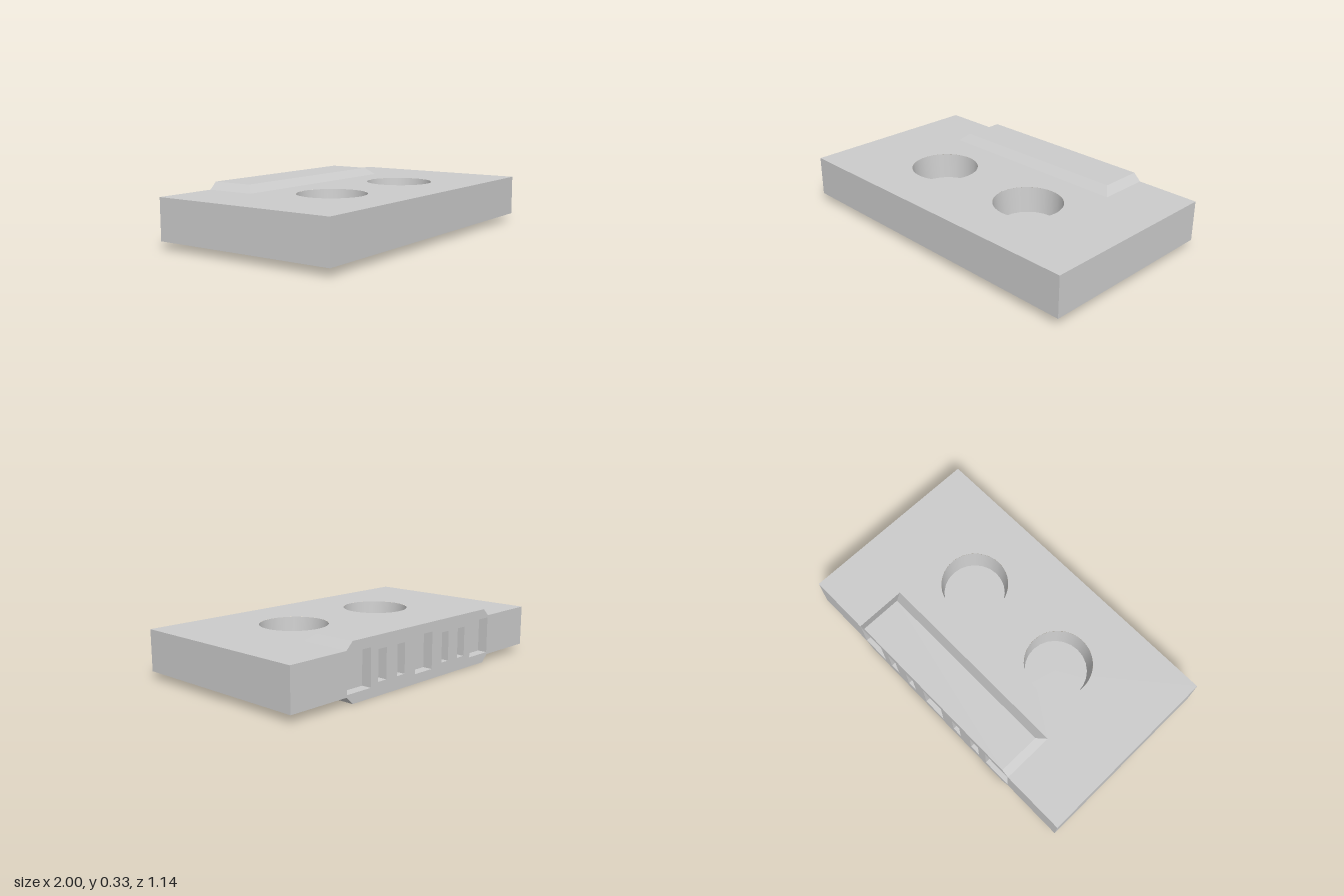
import * as THREE from 'three';
import { mergeGeometries } from 'three/addons/utils/BufferGeometryUtils.js';

const W = 1, D = 0.57;                 // half width and half depth of the slab
const LOW = 0.045, TOP = 0.287;        // slab underside and top
const FULL = 0.33;                     // top of the raised ridge
const RB = 0.62, RT = 0.575;           // ridge half width at base and crest
const RZB = -0.26, RZT = -0.315;       // ridge front edge at base and crest
const HOLES = [-0.35, 0.35], HOLE_Z = 0.1, HOLE_R = 0.2, HOLE_DEPTH = 0.15;
const SLOT_DEPTH = 0.06;
const MID = (LOW + TOP) / 2;

// Back slots: centre x, width, height
const SLOTS = [[0, 0.15, 0.216]];
for (const s of [-1, 1]) {
  SLOTS.push([s * 0.527, 0.178, 0.216], [s * 0.347, 0.066, 0.176], [s * 0.195, 0.062, 0.176]);
}

const grey = (side = THREE.FrontSide) => new THREE.MeshStandardMaterial({ color: 0xcccccc, side });

function polygon(points) {
  return new THREE.Shape(points.map(([x, y]) => new THREE.Vector2(x, y)));
}

// Slab face with a notch where the ridge stands; s is the side of the notch
function plateShape(s) {
  return polygon([
    [-W, -s * D], [W, -s * D], [W, s * D], [RB, s * D], [RB, -s * RZB],
    [-RB, -s * RZB], [-RB, s * D], [-W, s * D],
  ]);
}

// Bevelled ridge: crest, front slope and two end slopes
function ridgeGeometry() {
  const a = [-RB, TOP, -D], b = [-RB, TOP, RZB], c = [RB, TOP, RZB], d = [RB, TOP, -D];
  const e = [-RT, FULL, -D], f = [-RT, FULL, RZT], g = [RT, FULL, RZT], h = [RT, FULL, -D];
  const quads = [[e, f, g, h], [b, c, g, f], [c, d, h, g], [a, b, f, e]];
  const pos = quads.flatMap(([p, q, r, s]) => [p, q, r, p, r, s]).flat();
  const geo = new THREE.BufferGeometry();
  geo.setAttribute('position', new THREE.Float32BufferAttribute(pos, 3));
  geo.computeVertexNormals();
  return geo;
}

export function createModel() {
  const group = new THREE.Group();
  const add = (name, geo, side) => {
    const mesh = new THREE.Mesh(geo, grey(side));
    mesh.name = name;
    group.add(mesh);
    return mesh;
  };

  // Top with two round openings, and underside
  const top = plateShape(1);
  for (const x of HOLES) top.holes.push(new THREE.Path().absarc(x, -HOLE_Z, HOLE_R, 0, Math.PI * 2));
  add('topFace', new THREE.ShapeGeometry(top, 24).rotateX(-Math.PI / 2).translate(0, TOP, 0));
  add('underside', new THREE.ShapeGeometry(plateShape(-1)).rotateX(Math.PI / 2).translate(0, LOW, 0));

  // Front and side walls
  const h = TOP - LOW;
  add('slabWalls', mergeGeometries([
    new THREE.PlaneGeometry(2 * W, h).translate(0, MID, D),
    new THREE.PlaneGeometry(2 * D, h).rotateY(Math.PI / 2).translate(W, MID, 0),
    new THREE.PlaneGeometry(2 * D, h).rotateY(-Math.PI / 2).translate(-W, MID, 0),
  ]));

  // Back wall, covering the ridge ends and pierced by the slots
  const bottom = 2 * MID - FULL;
  const back = polygon([
    [-W, LOW], [-RB, LOW], [-RT, bottom], [RT, bottom], [RB, LOW], [W, LOW],
    [W, TOP], [RB, TOP], [RT, FULL], [-RT, FULL], [-RB, TOP], [-W, TOP],
  ]);
  for (const [x, w, t] of SLOTS) {
    back.holes.push(polygon([
      [x - w / 2, MID - t / 2], [x - w / 2, MID + t / 2],
      [x + w / 2, MID + t / 2], [x + w / 2, MID - t / 2],
    ]));
  }
  add('backWall', new THREE.ShapeGeometry(back).rotateY(Math.PI).translate(0, 0, -D));

  // Slot recesses: boxes seen from inside, open at the back
  for (const [x, w, t] of SLOTS) {
    const geo = new THREE.BoxGeometry(w, t, SLOT_DEPTH);
    geo.setIndex(Array.from(geo.index.array).slice(0, 30));
    add('backSlot', geo, THREE.BackSide).position.set(x, MID, -D + SLOT_DEPTH / 2);
  }

  // Ridges above and below
  add('upperRidge', ridgeGeometry());
  const lower = ridgeGeometry().rotateZ(Math.PI).translate(0, 2 * MID, 0);
  add('lowerRidge', lower);

  // Tapered blind holes with a slightly offset floor
  const floorR = 0.186, shift = 0.009;
  for (const x of HOLES) {
    const wall = new THREE.CylinderGeometry(HOLE_R, floorR, HOLE_DEPTH, 24, 1, true);
    const p = wall.attributes.position;
    for (let i = 0; i < p.count; i++) if (p.getY(i) < 0) p.setX(i, p.getX(i) + shift);
    add('holeWall', wall, THREE.BackSide).position.set(x, TOP - HOLE_DEPTH / 2, HOLE_Z);
    add('holeFloor', new THREE.CircleGeometry(floorR, 24).rotateX(-Math.PI / 2))
      .position.set(x + shift, TOP - HOLE_DEPTH, HOLE_Z);
  }
  return group;
}
